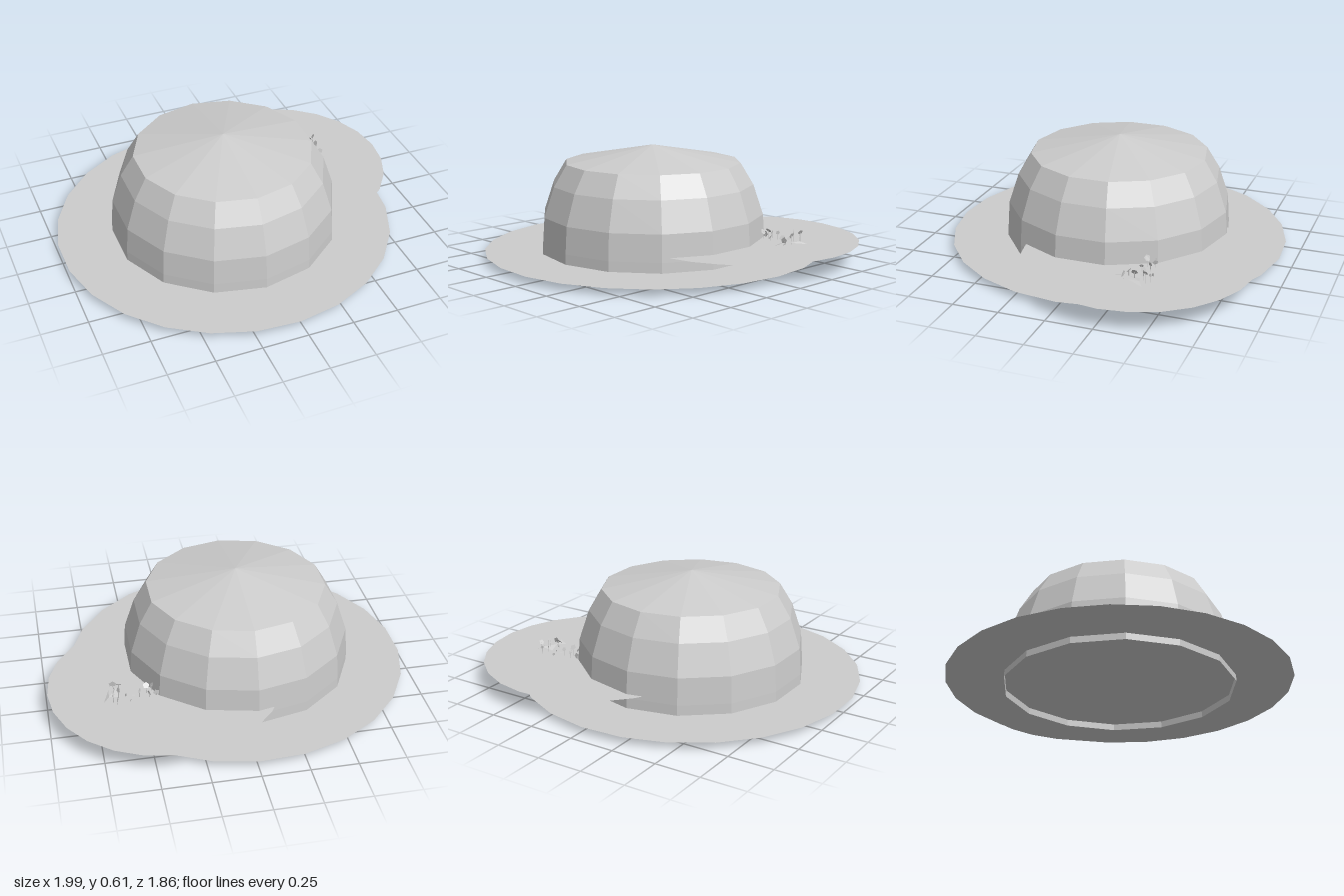
import * as THREE from 'three';

export function createModel() {
  const model = new THREE.Group();
  const grey = new THREE.MeshStandardMaterial({ color: 0xcccccc, flatShading: true, side: THREE.DoubleSide });
  grey.name = 'plain grey';

  const add = (name, geometry, x = 0, y = 0, z = 0, parent = model) => {
    const mesh = new THREE.Mesh(geometry, grey);
    mesh.name = name;
    mesh.position.set(x, y, z);
    parent.add(mesh);
    return mesh;
  };
  const disc = (radius) => new THREE.CircleGeometry(radius, 25).rotateX(-Math.PI / 2);
  const plate = (points) =>
    new THREE.ShapeGeometry(new THREE.Shape(points.map(([x, z]) => new THREE.Vector2(x, -z)))).rotateX(-Math.PI / 2);

  // Fourteen-sided dome, open below, with a shallow cone roof
  const profile = [[0.625, 0], [0.622, 0.09], [0.612, 0.235], [0.557, 0.4], [0.486, 0.518]];
  add('domeWall', new THREE.LatheGeometry(profile.map(([r, y]) => new THREE.Vector2(r, y)), 14), -0.07);
  add('roof', new THREE.ConeGeometry(0.486, 0.092, 14, 1, true), -0.07, 0.564);

  // Two flat ground discs, the smaller one a little higher
  add('groundDisc', disc(0.93), -0.07, 0.035);
  add('upperDisc', disc(0.625), 0.37, 0.112, -0.27);

  // Narrow sliver under the ground disc
  add('underSliver', plate([[-0.005, 0.085], [-0.035, 0.005], [-0.087, -0.09], [-0.055, 0.005]]), 0, 0.031);

  // Small plant clump on the upper disc
  const clump = new THREE.Group();
  clump.name = 'plantClump';
  model.add(clump);
  const ground = plate([[0.71, -0.4], [0.68, -0.375], [0.62, -0.36], [0.635, -0.3], [0.615, -0.24], [0.66, -0.23], [0.675, -0.31]]);
  const pos = ground.attributes.position;
  for (let i = 0; i < pos.count; i++) pos.setY(i, Math.abs(pos.getX(i) - 0.66) < 0.03 ? 0.015 : 0);
  add('groundLeaf', ground, 0, 0.114, 0, clump);

  // Petals: x, y, z, size
  const petals = [
    [0.43, 0.13, -0.38, 0.03], [0.45, 0.15, -0.34, 0.03], [0.47, 0.14, -0.39, 0.025], [0.48, 0.16, -0.35, 0.03],
    [0.51, 0.13, -0.33, 0.02], [0.52, 0.15, -0.38, 0.02], [0.55, 0.12, -0.37, 0.015], [0.57, 0.12, -0.41, 0.015],
    [0.59, 0.12, -0.36, 0.015], [0.62, 0.15, -0.3, 0.03], [0.63, 0.17, -0.38, 0.025], [0.65, 0.16, -0.34, 0.03],
    [0.65, 0.14, -0.28, 0.035], [0.66, 0.17, -0.4, 0.025], [0.64, 0.15, -0.42, 0.015],
  ];
  petals.forEach(([x, y, z, s], i) => {
    const petal = add('petal', new THREE.CircleGeometry(s * 0.6, 5), x, y, z, clump);
    petal.rotation.set(i * 1.3, i * 2.1, i * 0.7);
    // Thin stem down to the disc
    if (y > 0.125) add('stem', new THREE.CylinderGeometry(0.002, 0.002, y - 0.112, 4), x, (y + 0.112) / 2, z, clump);
  });

  return model;
}
